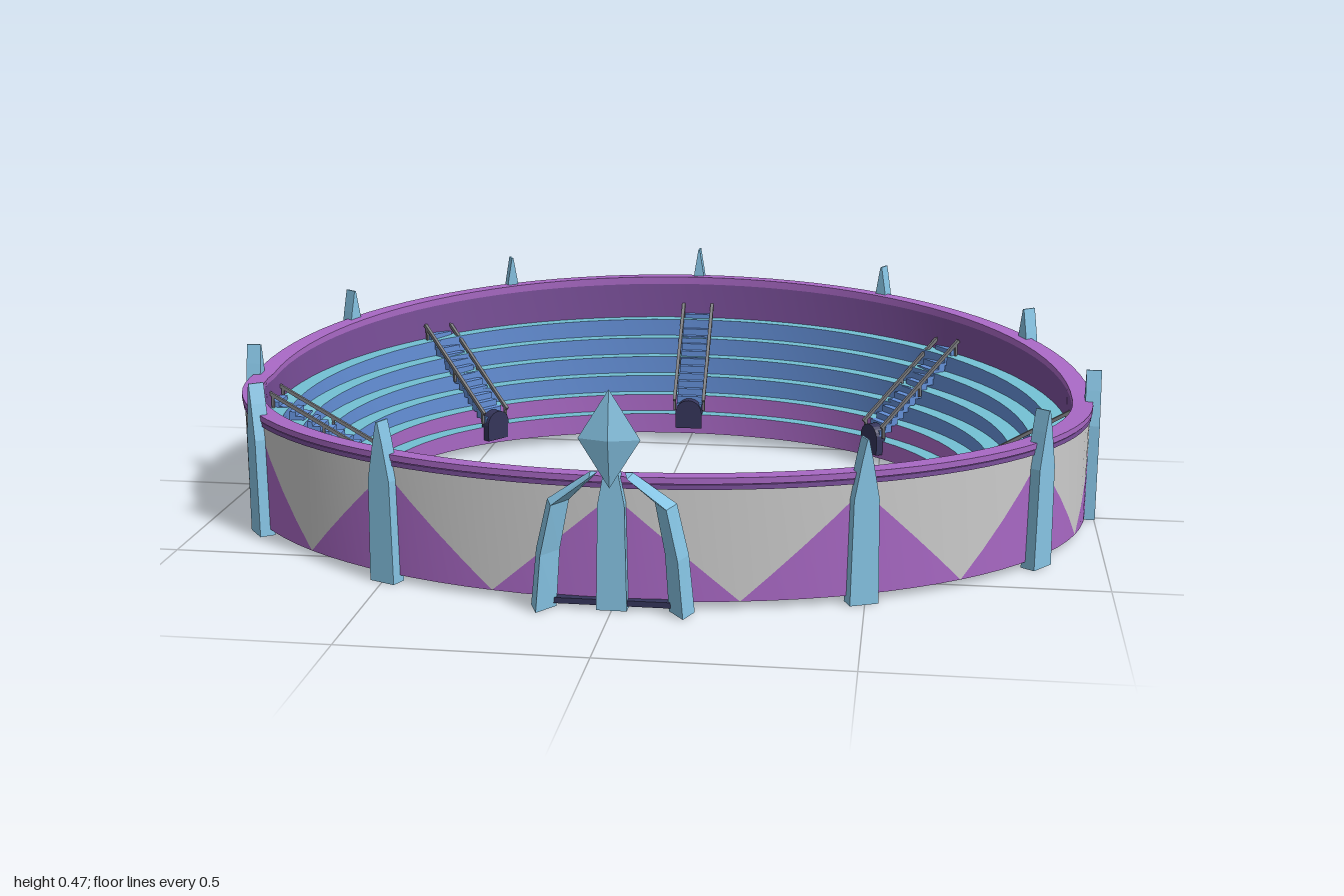
import * as THREE from 'three';

const RX = 0.985, RZ = 0.745, ZC = -0.015, SEG = 96;
const mat = (color, extra = {}) =>
  new THREE.MeshStandardMaterial({ color, side: THREE.DoubleSide, ...extra });
const M = {
  grey: mat(0xcccccc), purple: mat(0xa868c4), darkPurple: mat(0x7a4f9a),
  cyan: mat(0x72bfd2), blue: mat(0x6490d8), dark: mat(0x35355a),
  crystal: mat(0x86c4e4, { flatShading: true }), rail: mat(0x77787c),
};

// The bowl grows taller towards the back
const lift = a => 1 + 0.45 * Math.max(0, -Math.sin(a));
const point = (a, s, y) => new THREE.Vector3(RX * s * Math.cos(a), y, ZC + RZ * s * Math.sin(a));

function add(parent, name, geometry, material, x = 0, y = 0, z = 0) {
  const mesh = new THREE.Mesh(geometry, material);
  mesh.name = name;
  mesh.position.set(x, y, z);
  parent.add(mesh);
  return mesh;
}

// Sweeps [radiusScale, height] pairs round the oval; a height may be a function of angle
function oval(profile) {
  const pos = [], idx = [];
  for (let k = 0; k + 1 < profile.length; k++) {
    const base = pos.length / 3;
    for (let i = 0; i < SEG; i++) {
      const a = (i / SEG) * Math.PI * 2;
      for (const [s, y] of [profile[k], profile[k + 1]]) {
        const h = typeof y === 'function' ? y(a) : y * lift(a);
        pos.push(...point(a, s, h).toArray());
      }
      const p = base + 2 * i, q = base + 2 * ((i + 1) % SEG);
      idx.push(p, p + 1, q, q, p + 1, q + 1);
    }
  }
  const g = new THREE.BufferGeometry();
  g.setAttribute('position', new THREE.Float32BufferAttribute(pos, 3));
  g.setIndex(idx);
  g.computeVertexNormals();
  return g;
}

function slab(points, depth) {
  const shape = new THREE.Shape(points.map(p => new THREE.Vector2(...p)));
  const g = new THREE.ExtrudeGeometry(shape, { depth, bevelEnabled: false });
  return g.translate(0, 0, -depth / 2);
}

function buildWall(root) {
  const bottom = () => 0.015;
  // Zigzag edge: a peak at each pillar, touching the ground half way between
  const zigzag = a => {
    const t = (a / (Math.PI / 6)) % 1;
    const peak = 0.235 + 0.16 * (lift(a) - 1);
    return 0.015 + (peak - 0.015) * Math.abs(1 - 2 * t);
  };
  add(root, 'wallTriangles', oval([[0.994, zigzag], [0.994, bottom]]), M.purple);
  add(root, 'wallPanels', oval([[0.994, 0.25], [0.994, zigzag]]), M.grey);
  add(root, 'wallLining', oval([[0.994, bottom], [0.975, bottom], [0.975, 0.25]]), M.darkPurple);
  // Two-layer rim
  add(root, 'rimBand', oval([[0.954, 0.25], [0.998, 0.25], [0.998, 0.26], [0.99, 0.262]]), M.darkPurple);
  add(root, 'rimTop', oval([[0.99, 0.262], [1, 0.262], [1, 0.275], [0.954, 0.275], [0.954, 0.262]]), M.purple);
  add(root, 'innerWall', oval([[0.954, 0.2], [0.954, 0.262]]), M.darkPurple);
}

const TIERS = 6, S0 = 0.69, S1 = 0.954, Y0 = 0.05, Y1 = 0.2;

function buildTiers(root) {
  for (let i = 0; i < TIERS; i++) {
    const s = S0 + (S1 - S0) * i / TIERS, e = S0 + (S1 - S0) * (i + 1) / TIERS;
    const y = Y0 + (Y1 - Y0) * i / (TIERS - 1);
    const below = i ? y - (Y1 - Y0) / (TIERS - 1) : 0.015;
    add(root, 'tierRiser', oval([[s, below], [s, y]]), i < 2 ? M.purple : M.blue);
    add(root, 'tierTread', oval([[s, y], [e, y]]), M.cyan);
  }
}

function buildStair(a) {
  const stair = new THREE.Group();
  stair.name = 'stair';
  const start = point(a, S0, Y0 * lift(a)), end = point(a, S1, Y1 * lift(a));
  const rise = end.y - start.y;
  const length = Math.hypot(end.x - start.x, end.z - start.z);
  stair.position.copy(start);
  stair.rotation.y = -Math.atan2(end.z - start.z, end.x - start.x);
  // Steps climb along local +x
  const n = 13, run = length / n;
  for (let i = 0; i < n; i++)
    add(stair, 'step', new THREE.BoxGeometry(run, 0.022, 0.066), M.blue,
      run * (i + 0.5), rise * (i + 0.5) / n + 0.008, 0);
  for (const side of [-1, 1]) {
    const rail = add(stair, 'handrail',
      new THREE.BoxGeometry(Math.hypot(length, rise), 0.008, 0.008), M.rail,
      length / 2, rise / 2 + 0.036, side * 0.038);
    rail.rotation.z = Math.atan2(rise, length);
    for (const t of [0.03, 0.5, 0.97])
      add(stair, 'railPost', new THREE.BoxGeometry(0.006, 0.034, 0.006), M.rail,
        length * t, rise * t + 0.02, side * 0.038);
  }
  // Arched doorway at the foot
  const arch = new THREE.Shape();
  arch.moveTo(-0.034, -0.035);
  arch.lineTo(0.034, -0.035);
  arch.lineTo(0.034, 0.005);
  arch.absarc(0, 0.005, 0.034, 0, Math.PI);
  const door = add(stair, 'doorway',
    new THREE.ExtrudeGeometry(arch, { depth: 0.025, bevelEnabled: false, curveSegments: 6 }),
    M.dark, -0.01, 0, 0);
  door.rotation.y = Math.PI / 2;
  return stair;
}

function buildPillar(root, a) {
  const h = 0.275 * lift(a) + 0.07;
  const g = slab([[-0.031, 0], [0.031, 0], [0.027, h * 0.64], [0.012, h * 0.87],
    [0.002, h], [-0.002, h], [-0.012, h * 0.87], [-0.027, h * 0.64]], 0.034);
  const pillar = add(root, 'pillar', g, M.crystal);
  pillar.position.copy(point(a, 1, 0));
  pillar.rotation.y = Math.atan2(Math.cos(a) / RX, Math.sin(a) / RZ);
}

function buildGate(root) {
  const gate = new THREE.Group();
  gate.name = 'entranceGate';
  gate.position.z = 0.755;
  // Bent crystal legs, tapering to the middle, with a ridge on the front
  for (const side of [-1, 1]) {
    const rows = [[0.14, 0, 0.026], [0.13, 0.12, 0.024], [0.108, 0.225, 0.022], [0.035, 0.285, 0.008]];
    const pos = [], idx = [];
    rows.forEach(([x, y, w], r) => {
      pos.push(side * (x - w), y, -0.022, side * (x + w), y, -0.022, side * (x + w * 0.3), y, 0.024);
      if (r) for (let k = 0; k < 3; k++) {
        const p = 3 * r - 3 + k, q = 3 * r - 3 + (k + 1) % 3;
        idx.push(p, q, p + 3, q, q + 3, p + 3);
      }
    });
    idx.push(0, 1, 2, 9, 10, 11);
    const g = new THREE.BufferGeometry();
    g.setAttribute('position', new THREE.Float32BufferAttribute(pos, 3));
    g.setIndex(idx);
    g.computeVertexNormals();
    add(gate, 'gateLeg', g, M.crystal);
  }
  add(gate, 'gateCrystal', new THREE.OctahedronGeometry(1).scale(0.062, 0.1, 0.018), M.crystal, 0, 0.36, 0.008);
  add(gate, 'gateThreshold', new THREE.BoxGeometry(0.24, 0.012, 0.02), M.dark, 0, 0.014, -0.025);
  root.add(gate);
}

export function createModel() {
  const root = new THREE.Group();
  root.name = 'arena';
  buildWall(root);
  buildTiers(root);
  for (let i = 0; i < 8; i++) root.add(buildStair(i * Math.PI / 4));
  for (let i = 0; i < 12; i++) buildPillar(root, i * Math.PI / 6);
  buildGate(root);
  return root;
}
